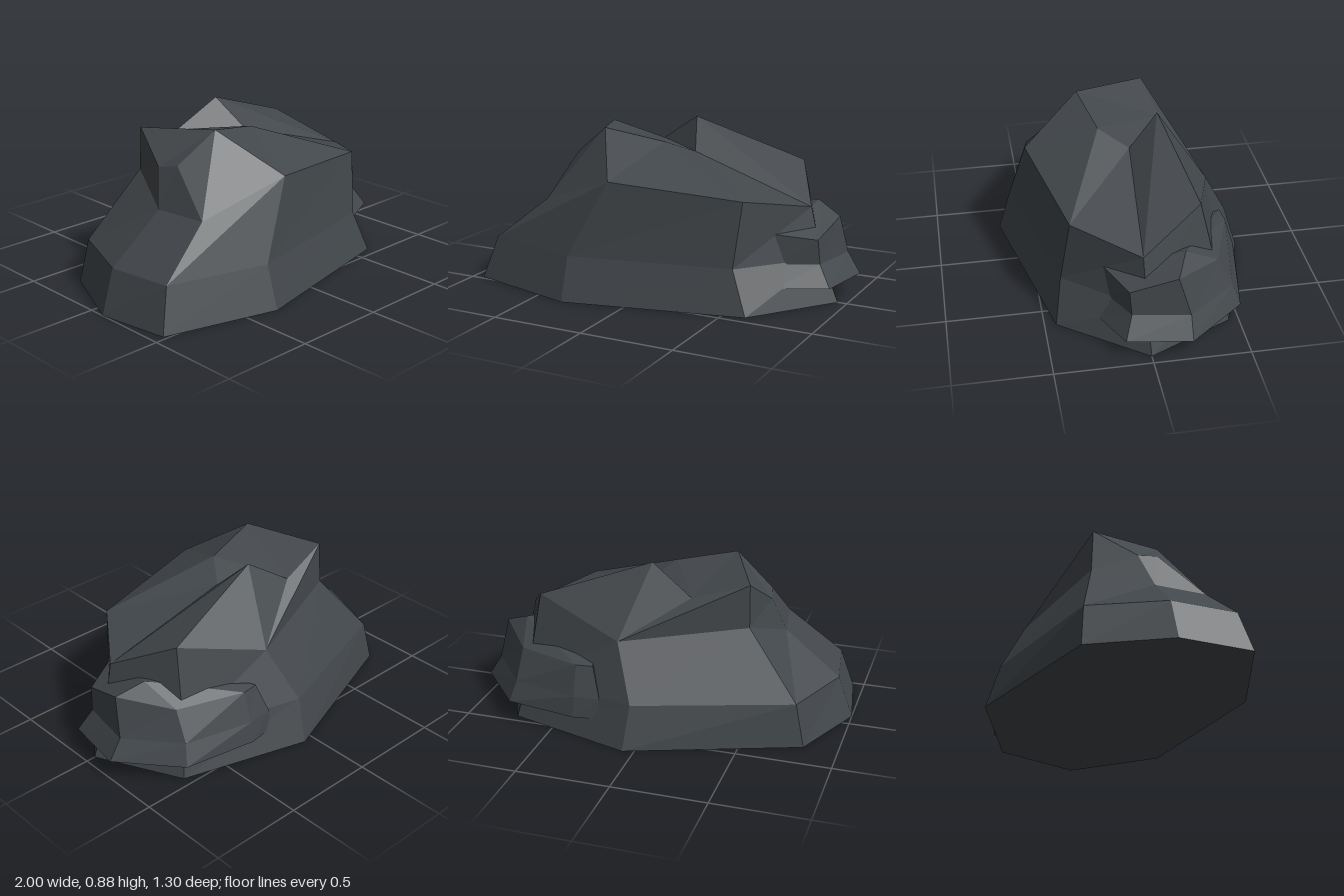
import * as THREE from 'three';

const stone = new THREE.MeshStandardMaterial({ color: 0x42474b });
stone.name = 'slate grey';

// Faceted solid from stacked rings (anticlockwise from above) plus extra cap faces
function rock(name, rings, extra, caps) {
  const n = rings[0].length;
  const points = [...rings.flat(), ...extra];
  const faces = [];
  for (let r = 0; r < rings.length - 1; r++) {
    for (let i = 0; i < n; i++) {
      const j = (i + 1) % n;
      faces.push([r * n + i, r * n + j, (r + 1) * n + j, (r + 1) * n + i]);
    }
  }
  faces.push([...Array(n).keys()].reverse()); // underside
  faces.push(...caps);

  const positions = [];
  for (const f of faces) {
    for (let k = 1; k < f.length - 1; k++) {
      for (const i of [f[0], f[k], f[k + 1]]) positions.push(...points[i]);
    }
  }
  const geometry = new THREE.BufferGeometry();
  geometry.setAttribute('position', new THREE.Float32BufferAttribute(positions, 3));
  geometry.computeVertexNormals();
  const mesh = new THREE.Mesh(geometry, stone);
  mesh.name = name;
  return mesh;
}

// Ring of [x, z] pairs at one height
const level = (y, pairs) => pairs.map(([x, z]) => [x, y, z]);

function mainBoulder() {
  const foot = level(0, [[-1, 0.09], [-0.94, 0.48], [-0.33, 0.65], [0.62, 0.44],
    [0.95, 0], [0.73, -0.45], [0.06, -0.65], [-0.82, -0.33]]);
  const waist = level(0.23, [[-0.92, 0.08], [-0.87, 0.43], [-0.33, 0.58], [0.53, 0.4],
    [0.86, 0.01], [0.68, -0.4], [0.04, -0.58], [-0.77, -0.31]]);
  const shoulder = [[-0.62, 0.465, 0.09], [-0.58, 0.465, 0.37], [-0.13, 0.63, 0.5],
    [0.56, 0.57, 0.35], [0.8, 0.5, 0.02], [0.63, 0.67, -0.3],
    [0.15, 0.515, -0.44], [-0.49, 0.58, -0.21]];
  // Crest around the hollow top
  const crest = [[-0.555, 0.66, 0.02], [-0.525, 0.685, 0.13], [-0.32, 0.845, 0.19],
    [0, 0.785, 0.12], [0.11, 0.715, -0.03], [0.04, 0.875, -0.19],
    [-0.19, 0.725, -0.25], [-0.485, 0.81, -0.2]];
  const [A, B, C, D, E, F, G, H] = [16, 17, 18, 19, 20, 21, 22, 23];
  const [west, southWest, frontPeak, saddle, valley, backPeak, dip, backWest] =
    [24, 25, 26, 27, 28, 29, 30, 31];
  return rock('mainBoulder', [foot, waist, shoulder], crest, [
    // Slopes up to the crest
    [A, B, southWest, west], [B, C, frontPeak, southWest], [C, D, saddle, frontPeak],
    [D, E, valley, saddle], [E, F, backPeak, valley], [F, G, backPeak],
    [G, dip, backPeak], [G, H, backWest, dip], [H, A, west, backWest],
    // Hollow top
    [valley, backPeak, dip], [saddle, valley, dip], [frontPeak, saddle, dip],
    [frontPeak, dip, backWest], [frontPeak, backWest, west], [frontPeak, west, southWest],
  ]);
}

function sideLedge() {
  const under = level(0.11, [[0.7, 0.25], [0.95, 0.13], [1, -0.2], [0.75, -0.5],
    [0.36, -0.57], [0.22, -0.55], [0.4, -0.1]]);
  const middle = level(0.22, [[0.67, 0.2], [0.88, 0.09], [0.93, -0.2], [0.72, -0.46],
    [0.36, -0.55], [0.22, -0.54], [0.4, -0.1]]);
  const rim = [[0.67, 0.38, 0.2], [0.87, 0.35, 0.1], [0.9, 0.425, -0.14],
    [0.71, 0.38, -0.38], [0.36, 0.38, -0.5], [0.27, 0.38, -0.49], [0.4, 0.38, -0.1]];
  const peak = 21;
  const caps = rim.map((_, i) => [14 + i, 14 + (i + 1) % 7, peak]);
  return rock('sideLedge', [under, middle, rim], [[0.76, 0.485, -0.2]], caps);
}

export function createModel() {
  const group = new THREE.Group();
  group.name = 'rockFormation';
  group.add(mainBoulder(), sideLedge());
  return group;
}
